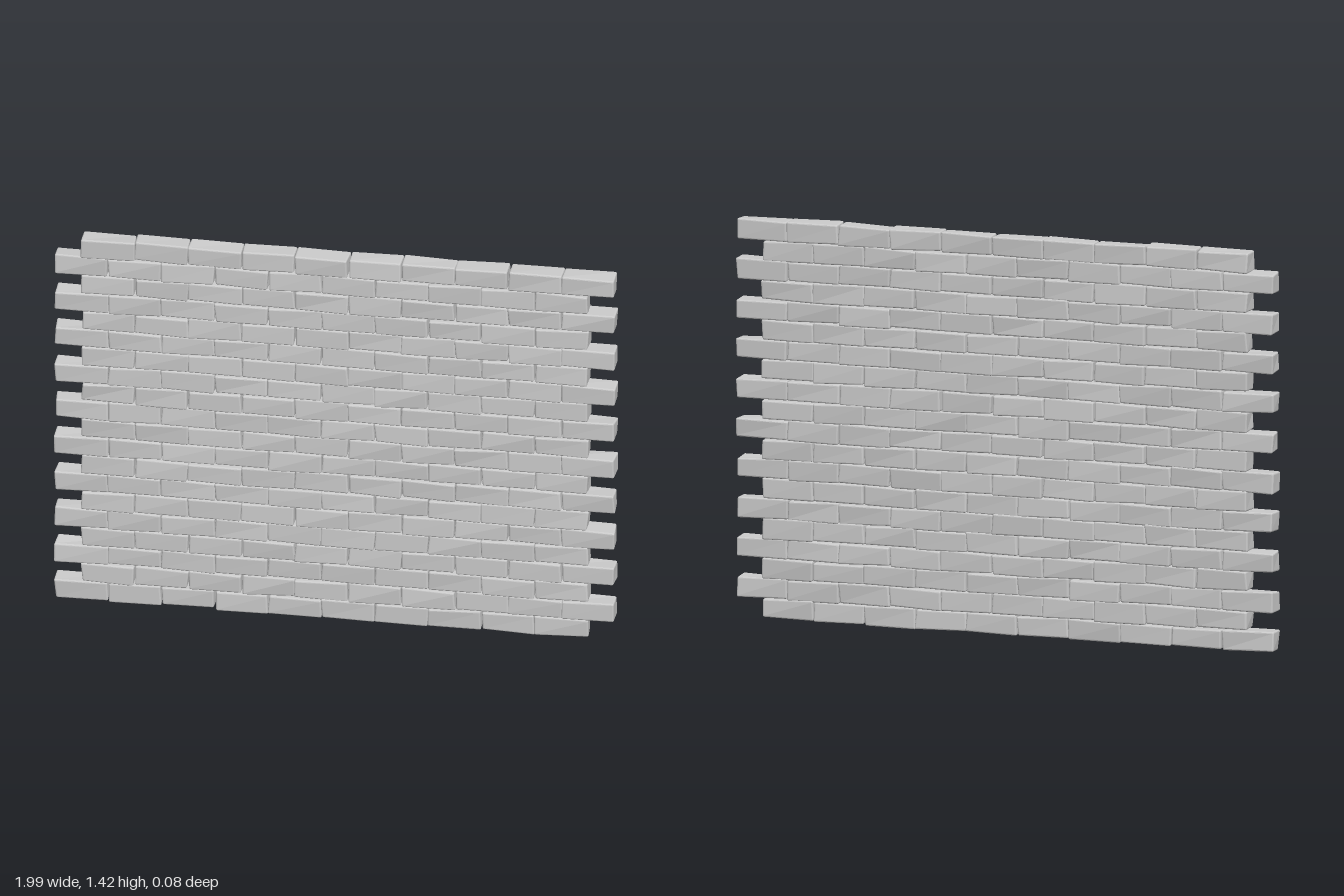
import * as THREE from 'three';
import { RoundedBoxGeometry } from 'three/addons/geometries/RoundedBoxGeometry.js';

const ROWS = 20, PER_ROW = 10;
const PITCH_X = 0.189, PITCH_Y = 0.0709;
const W = 0.187, H = 0.07, D = 0.073;

// Small seeded generator, -1..1
function makeRandom(seed) {
  let s = seed;
  return () => {
    s = (s * 16807) % 2147483647;
    return (s / 2147483647) * 2 - 1;
  };
}

// Rounded brick whose eight corners are each pushed a little out of true
function makeBrick(rand) {
  const geo = new RoundedBoxGeometry(W, H, D, 2, 0.006);
  const corners = Array.from({ length: 8 }, () =>
    new THREE.Vector3(rand() * 0.0045, rand() * 0.0045, rand() * 0.0045));
  const pos = geo.attributes.position;
  const p = new THREE.Vector3();
  for (let i = 0; i < pos.count; i++) {
    p.fromBufferAttribute(pos, i);
    const u = p.x / W + 0.5, v = p.y / H + 0.5, w = p.z / D + 0.5;
    corners.forEach((c, k) => {
      const weight = (k & 1 ? u : 1 - u) * (k & 2 ? v : 1 - v) * (k & 4 ? w : 1 - w);
      p.addScaledVector(c, weight);
    });
    pos.setXYZ(i, p.x, p.y, p.z);
  }
  geo.computeVertexNormals();
  return geo;
}

export function createModel() {
  const wall = new THREE.Group();
  wall.name = 'brickWall';
  const material = new THREE.MeshStandardMaterial({ color: 0xcccccc, flatShading: true });
  const rand = makeRandom(4721);

  // Courses alternate, each shifted by half a brick
  for (let r = 0; r < ROWS; r++) {
    const course = new THREE.Group();
    course.name = `course${r + 1}`;
    course.position.y = 0.042 + r * PITCH_Y;
    const shift = (r % 2 ? 1 : -1) * PITCH_X / 4;
    for (let i = 0; i < PER_ROW; i++) {
      const brick = new THREE.Mesh(makeBrick(rand), material);
      brick.name = 'brick';
      brick.position.x = (i - (PER_ROW - 1) / 2) * PITCH_X + shift;
      course.add(brick);
    }
    wall.add(course);
  }
  return wall;
}
